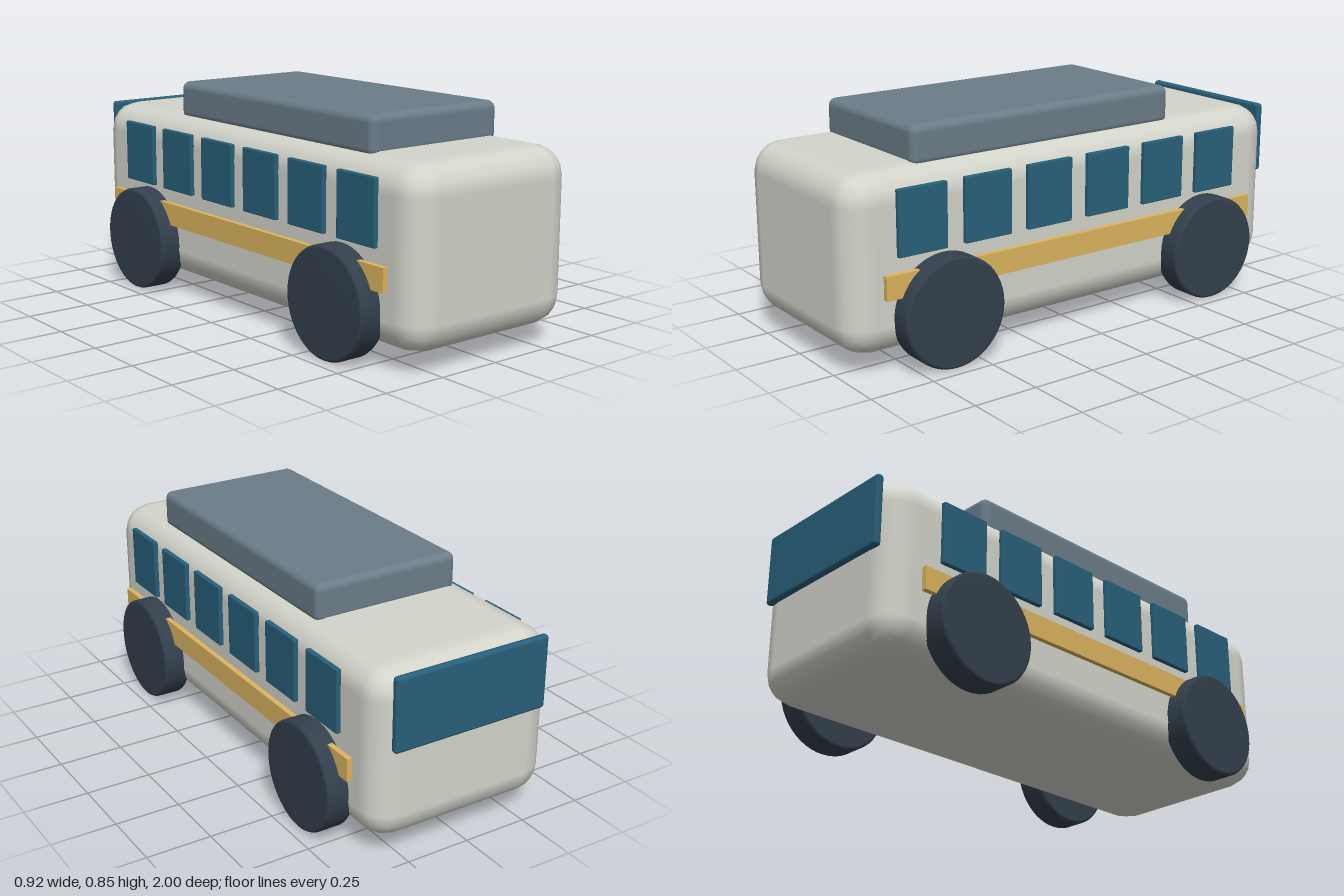
import * as THREE from 'three';
import { RoundedBoxGeometry } from 'three/addons/geometries/RoundedBoxGeometry.js';

const mat = (color) => new THREE.MeshStandardMaterial({ color });

export function createModel() {
  const bus = new THREE.Group();
  bus.name = 'bus';
  const cream = mat(0xd3d5cb), slate = mat(0x6b7d89), glass = mat(0x28607a);
  const yellow = mat(0xdcb55f), rubber = mat(0x33404d);

  const add = (name, geometry, material, x, y, z) => {
    const mesh = new THREE.Mesh(geometry, material);
    mesh.name = name;
    mesh.position.set(x, y, z);
    bus.add(mesh);
    return mesh;
  };

  // Body shell, roof unit and rear window
  add('body', new RoundedBoxGeometry(0.754, 0.658, 1.98, 2, 0.113), cream, 0, 0.399, 0.01);
  add('roofUnit', new RoundedBoxGeometry(0.6, 0.15, 1.18, 3, 0.03), slate, 0, 0.78, 0.1);
  add('rearWindow', new RoundedBoxGeometry(0.634, 0.28, 0.03, 3, 0.012), glass, 0, 0.58, -0.985);

  // Tyre profile with softly bevelled rims
  const r = 0.206, w = 0.055, b = 0.012;
  const profile = [[0, -w], [r - b, -w], [r - b * 0.3, -w + b * 0.3], [r, -w + b],
    [r, w - b], [r - b * 0.3, w - b * 0.3], [r - b, w], [0, w]]
    .map(([x, y]) => new THREE.Vector2(x, y));
  const wheelGeometry = new THREE.LatheGeometry(profile, 48).rotateZ(Math.PI / 2);

  const windowGeometry = new RoundedBoxGeometry(0.02, 0.242, 0.2, 2, 0.004);
  const stripeGeometry = new THREE.BoxGeometry(0.02, 0.088, 1.716);

  // Side windows, stripe and wheels, mirrored left and right
  for (const [side, s] of [['left', 1], ['right', -1]]) {
    for (let i = 0; i < 6; i++) {
      add(`${side}Window${i + 1}`, windowGeometry, glass, s * 0.384, 0.55, 0.71 - i * 0.274);
    }
    add(`${side}Stripe`, stripeGeometry, yellow, s * 0.396, 0.334, 0.012);
    add(`${side}FrontWheel`, wheelGeometry, rubber, s * 0.405, 0.208, 0.62);
    add(`${side}RearWheel`, wheelGeometry, rubber, s * 0.405, 0.208, -0.608);
  }
  return bus;
}
